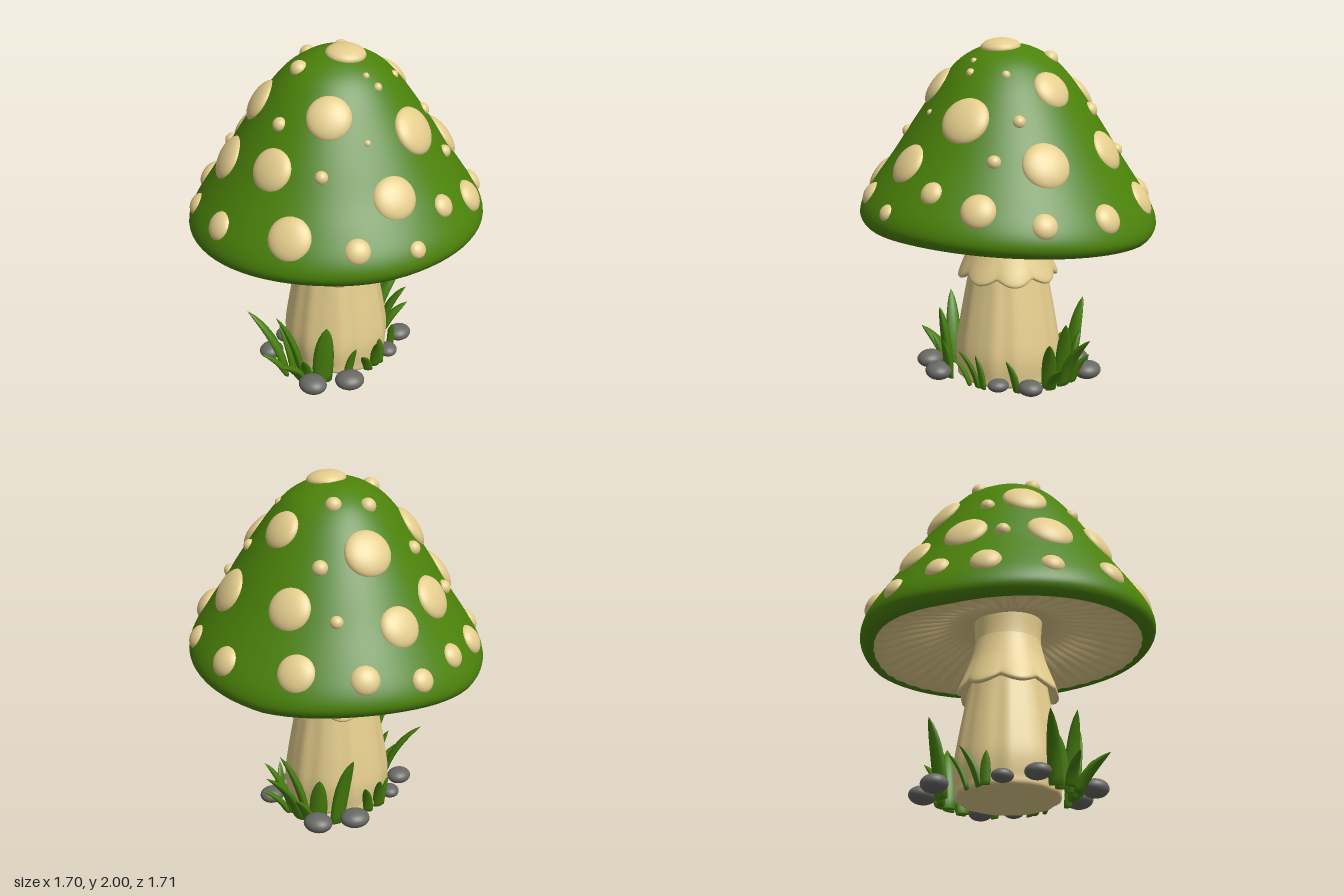
import * as THREE from 'three';
import { mergeVertices } from 'three/addons/utils/BufferGeometryUtils.js';

const material = (name, color) => {
  const m = new THREE.MeshStandardMaterial({ color });
  m.name = name;
  return m;
};
const V = (x, y, z) => new THREE.Vector3(x, y, z);

// Smooth lathe through [radius, y] points, then each vertex moved by a rule
function turned(points, segments, rows, rule) {
  const curve = new THREE.SplineCurve(points.map(([r, y]) => new THREE.Vector2(r, y)));
  const profile = curve.getPoints(rows);
  profile.forEach((p) => { p.x = Math.max(p.x, 0); });
  return bend(new THREE.LatheGeometry(profile, segments), rule);
}

function bend(source, rule) {
  const p = source.attributes.position;
  const v = V(0, 0, 0);
  for (let i = 0; i < p.count; i++) {
    v.fromBufferAttribute(p, i);
    rule(v);
    p.setXYZ(i, v.x, v.y, v.z);
  }
  source.deleteAttribute('uv');
  source.deleteAttribute('normal');
  const g = mergeVertices(source, 1e-5);
  g.computeVertexNormals();
  return g;
}

// Lean of the cap, with a raised back corner and a shallow dent at the front
function lift(x, z) {
  const corner = x < 0 && z < 0 ? -0.075 * x * z * (x + z) / (x * x + z * z) : 0;
  const dent = 0.035 * Math.exp(-((x - 0.4) ** 2 + (z - 0.35) ** 2) / 0.07);
  return 0.06 * x + 0.033 * z + corner - dent;
}
const tilt = (v) => {
  v.z *= 1.01;
  v.y += lift(v.x, v.z);
};

// Cap outline, from the inner rim up to the crown
const CAP = [[0.755, 0.918], [0.788, 0.894], [0.83, 0.917], [0.848, 0.968], [0.823, 1.05], [0.75, 1.172],
  [0.65, 1.325], [0.55, 1.49], [0.45, 1.645], [0.35, 1.785], [0.25, 1.885], [0.12, 1.95], [0, 1.965]];

// Height of the cap's upper surface
function capHeight(x, z) {
  const r = Math.hypot(x, z);
  let i = 4;
  while (i < CAP.length - 2 && CAP[i + 1][0] > r) i++;
  const [r0, y0] = CAP[i], [r1, y1] = CAP[i + 1];
  return y0 + (y1 - y0) * (r - r0) / (r1 - r0) + lift(x, z);
}

// Spots as x, z, radius
const BIG_SPOTS = [
  [0.07, 0.01, 0.11], [0.5, 0, 0.135], [-0.6, 0, 0.125], [-0.04, -0.595, 0.12], [-0.04, 0.58, 0.12],
  [-0.34, -0.27, 0.13], [-0.34, 0.25, 0.125], [-0.565, -0.33, 0.115], [-0.43, 0.44, 0.13],
  [0.15, -0.35, 0.11], [0.18, 0.355, 0.12], [0.43, -0.455, 0.13], [0.57, 0.32, 0.12],
  [-0.17, -0.755, 0.105], [0.18, 0.745, 0.12]];
const MEDIUM_SPOTS = [
  [0.28, -0.745, 0.085], [-0.285, 0.735, 0.083], [-0.505, -0.612, 0.08], [-0.61, 0.52, 0.065],
  [-0.725, -0.37, 0.066], [-0.77, -0.085, 0.07], [-0.757, 0.195, 0.086], [0.745, -0.215, 0.094],
  [0.605, -0.535, 0.07], [0.515, 0.605, 0.07], [0.735, 0.075, 0.064], [0.74, 0.36, 0.048]];
const SMALL_SPOTS = [
  [-0.3, -0.55, 0.037], [-0.145, -0.45, 0.045], [-0.1, -0.22, 0.045], [-0.245, -0.085, 0.045],
  [-0.45, 0.065, 0.043], [-0.575, 0.215, 0.043], [-0.11, 0.205, 0.05], [-0.08, 0.44, 0.042],
  [0.24, 0.525, 0.037], [0.405, -0.28, 0.037], [0.58, -0.22, 0.038], [0.29, -0.14, 0.026],
  [0.38, 0.29, 0.02], [0.31, 0.07, 0.026], [0.245, 0.085, 0.02]];

// Grass blades as base x, z, tip x, y, z, half width
const FRONT_GRASS = [
  [-0.15, 0.34, -0.37, 0.35, 0.4, 0.052], [0, 0.37, -0.12, 0.42, 0.46, 0.058],
  [0.12, 0.34, 0.17, 0.4, 0.37, 0.078], [0.02, 0.4, 0, 0.2, 0.6, 0.06],
  [-0.08, 0.35, -0.17, 0.29, 0.36, 0.055], [0.06, 0.4, 0.08, 0.2, 0.48, 0.045],
  [-0.1, 0.4, -0.2, 0.16, 0.5, 0.045], [0.3, 0.04, 0.37, 0.23, 0.13, 0.038],
  [0.31, 0, 0.33, 0.2, 0.04, 0.036], [0.29, 0.1, 0.31, 0.15, 0.2, 0.036],
  [0.24, 0.26, 0.31, 0.25, 0.27, 0.04]];
const BACK_GRASS = [
  [-0.18, -0.32, -0.3, 0.44, -0.35, 0.07], [0.04, -0.38, 0.13, 0.33, -0.59, 0.06],
  [0, -0.36, 0.13, 0.4, -0.44, 0.06], [0.12, -0.33, 0.26, 0.31, -0.4, 0.055],
  [-0.08, -0.37, -0.12, 0.3, -0.42, 0.065], [-0.04, -0.4, -0.02, 0.19, -0.52, 0.052],
  [0.14, -0.35, 0.24, 0.16, -0.46, 0.045], [-0.3, -0.04, -0.36, 0.22, -0.13, 0.038],
  [-0.31, 0, -0.34, 0.18, 0.02, 0.036], [-0.28, -0.12, -0.31, 0.2, -0.22, 0.036],
  [0.27, -0.2, 0.31, 0.19, -0.15, 0.036]];

// Stones as x, z, radius; a second set sits half a turn round
const STONES = [[0.13, 0.46, 0.086], [0.29, 0.31, 0.086], [0.31, -0.1, 0.062], [0.28, -0.29, 0.075]];

// A tapering lens-section blade that arches from base to tip
function bladeGeometry([bx, bz, tx, ty, tz, w]) {
  const base = V(bx, 0, bz), tip = V(tx, ty, tz);
  const middle = base.clone().lerp(tip, 0.25).setY(ty * 0.62);
  const path = new THREE.QuadraticBezierCurve3(base, middle, tip);
  const out = V(bx, 0, bz).normalize();
  const lean = V(tx - bx, 0, tz - bz).addScaledVector(out, 0.05).normalize();
  const side = V(lean.z, 0, -lean.x);
  return bend(new THREE.CylinderGeometry(1, 1, 1, 8, 9), (v) => {
    const t = THREE.MathUtils.clamp(v.y + 0.5, 0, 1);
    const width = w * (0.7 + 1.1 * t) * Math.pow(1 - t, 0.8) + 0.0015;
    const depth = side.clone().cross(path.getTangent(t)).normalize();
    const a = v.x * width, b = v.z * width * 0.5;
    v.copy(path.getPoint(t)).addScaledVector(side, a).addScaledVector(depth, b);
    v.y = Math.max(v.y, 0);
  });
}

export function createModel() {
  const green = material('cap green', 0x4b820a);
  const cream = material('cream', 0xe4cd8d);
  const grass = material('grass green', 0x467e0c);
  const grey = material('stone grey', 0x686864);

  const model = new THREE.Group();
  model.name = 'mushroom';
  const group = (name) => {
    const g = new THREE.Group();
    g.name = name;
    model.add(g);
    return g;
  };
  const add = (parent, name, geometry, mat) => {
    const mesh = new THREE.Mesh(geometry, mat);
    mesh.name = name;
    parent.add(mesh);
    return mesh;
  };

  // Cap and its ribbed underside
  add(model, 'cap', turned(CAP, 72, 60, tilt), green);
  const gills = [[0.15, 1.075], [0.25, 1.055], [0.4, 1.02], [0.55, 0.98], [0.68, 0.936], [0.775, 0.903]];
  add(model, 'gills', turned(gills, 352, 16, (v) => {
    const r = Math.hypot(v.x, v.z);
    const fade = THREE.MathUtils.smoothstep(r, 0.2, 0.45) * (1 - THREE.MathUtils.smoothstep(r, 0.69, 0.775));
    const angle = Math.atan2(v.x, v.z);
    v.y += 0.02 * fade * Math.cos(44 * angle + 3 * r);
    tilt(v);
  }), cream);

  // Stem with soft vertical folds
  const stem = [[0, 0], [0.15, 0], [0.28, 0.002], [0.298, 0.06], [0.305, 0.18], [0.285, 0.33],
    [0.255, 0.5], [0.228, 0.65], [0.2, 0.82], [0.19, 0.95], [0.2, 1.09]];
  add(model, 'stem', turned(stem, 80, 60, (v) => {
    const angle = Math.atan2(v.x, v.z);
    const fold = 1 + (0.012 * Math.cos(11 * angle) + 0.006 * Math.cos(17 * angle + 1))
      * THREE.MathUtils.smoothstep(0.9 - v.y, 0, 0.4);
    v.x *= fold;
    v.z *= fold;
  }), cream);

  // Collar with a scalloped hem
  const collar = [[0.2, 0.68], [0.245, 0.645], [0.268, 0.62], [0.286, 0.63], [0.278, 0.665],
    [0.252, 0.73], [0.222, 0.81], [0.2, 0.89], [0.188, 0.95]];
  add(model, 'collar', turned(collar, 120, 36, (v) => {
    const hem = THREE.MathUtils.smoothstep(0.9 - v.y, 0, 0.28);
    const scallop = Math.abs(Math.cos(4 * Math.atan2(v.x, v.z) + 0.6));
    const flare = 1 + 0.08 * hem * (scallop - 0.65);
    v.set(v.x * flare, v.y - 0.04 * hem * (scallop - 0.6), v.z * flare);
  }), cream);

  // Raised spots lying on the cap
  const ball = new THREE.SphereGeometry(1, 28, 16);
  const spots = group('spots');
  const addSpots = (list, thickness, rise) => {
    for (const [x, z, r] of list) {
      const e = 0.02;
      const normal = V((capHeight(x - e, z) - capHeight(x + e, z)) / (2 * e), 1,
        (capHeight(x, z - e) - capHeight(x, z + e)) / (2 * e)).normalize();
      const spot = add(spots, 'spot', ball, cream);
      spot.position.set(x, capHeight(x, z), z).addScaledVector(normal, -0.01);
      spot.quaternion.setFromUnitVectors(V(0, 1, 0), normal);
      spot.scale.set(r * 1.03, r * thickness + rise, r * 1.03);
    }
  };
  addSpots(BIG_SPOTS, 0.28, 0.018);
  addSpots(MEDIUM_SPOTS, 0.48, 0.012);
  addSpots(SMALL_SPOTS, 0.8, 0.01);

  // Grass tufts
  for (const [name, blades] of [['frontGrass', FRONT_GRASS], ['backGrass', BACK_GRASS]]) {
    const tuft = group(name);
    for (const blade of blades) add(tuft, 'blade', bladeGeometry(blade), grass);
  }

  // Flattened stones around the foot
  const stones = group('stones');
  for (const s of [1, -1]) {
    for (const [x, z, r] of STONES) {
      const stone = add(stones, 'stone', ball, grey);
      stone.position.set(s * x, r * 0.6, s * z);
      stone.scale.set(r, r * 0.6, r * 0.9);
      stone.rotation.y = x * 9 + z * 4;
    }
  }
  return model;
}
